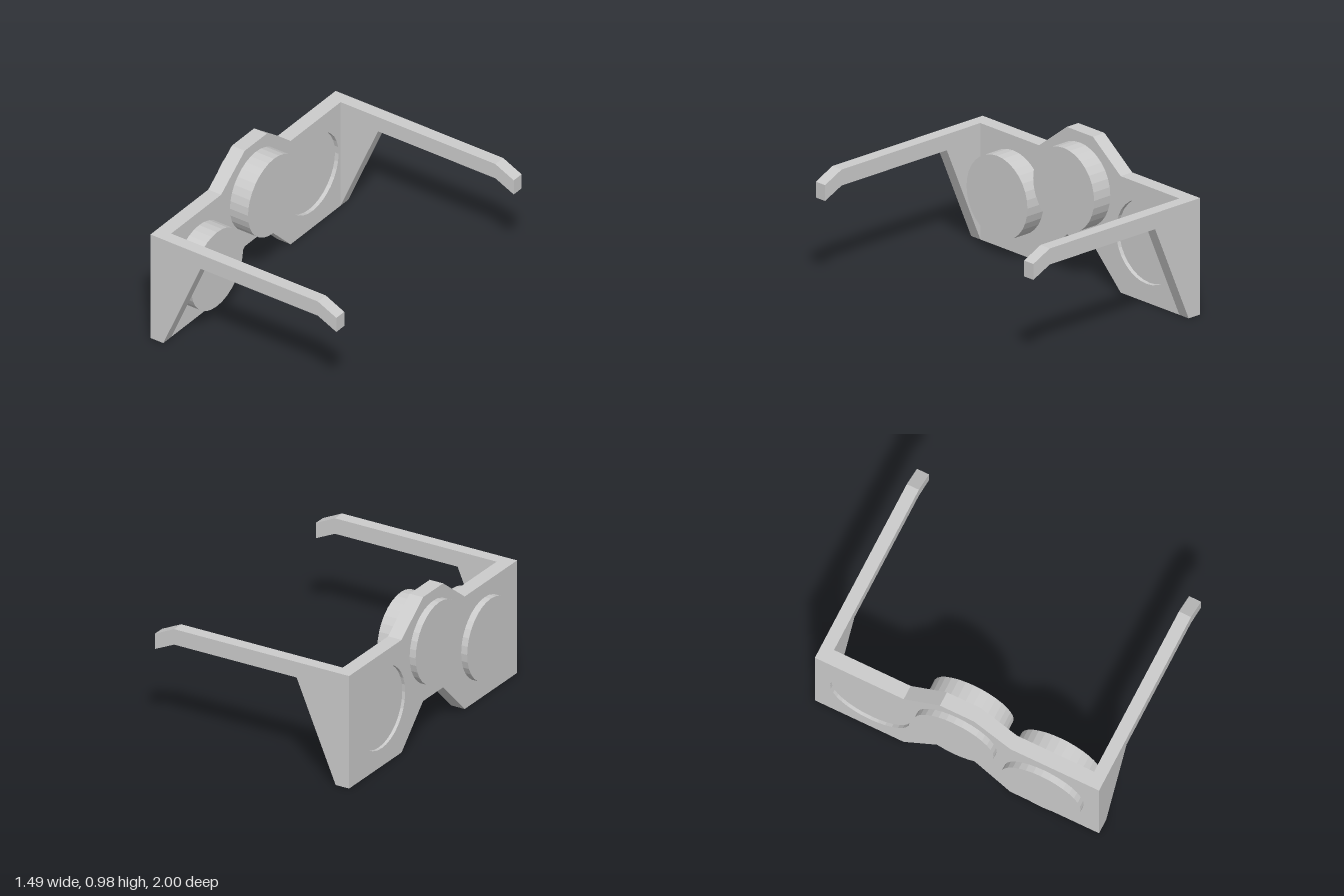
import * as THREE from 'three';

const SEGMENTS = 32;
const LENS_RADIUS = 0.28;
const PLATE_BACK = -0.7, PLATE_FRONT = -0.6;

// Lens centres (z, y) and their extent along x; one lens sits recessed in the plate
const LENSES = [
  { name: 'leftLens', z: 0.613, y: 0.405, from: -0.745, to: -0.46 },
  { name: 'middleLens', z: 0, y: 0.628, from: -0.745, to: -0.46 },
  { name: 'recessedLens', z: -0.613, y: 0.405, from: -0.678, to: -0.628 },
];

const points = (list) => list.map(([x, y]) => new THREE.Vector2(x, y));

const circle = (cx, cy, r) => Array.from({ length: SEGMENTS }, (_, i) => {
  const a = (i / SEGMENTS) * Math.PI * 2;
  return new THREE.Vector2(cx + r * Math.cos(a), cy + r * Math.sin(a));
});

export function createModel() {
  const model = new THREE.Group();
  model.name = 'glasses';
  const material = new THREE.MeshStandardMaterial({ color: 0xcccccc, flatShading: true });

  const add = (name, geometry) => {
    const mesh = new THREE.Mesh(geometry, material);
    mesh.name = name;
    model.add(mesh);
    return mesh;
  };

  // Frame plate: mirrored outline in (z, y) with a hole for every lens
  const half = [[0.12, 0.255], [0.375, 0], [0.915, 0], [0.915, 0.785], [0.375, 0.785], [0.12, 0.98]];
  const mirrored = half.map(([z, y]) => [-z, y]).reverse();
  const plate = new THREE.Shape(points([...half, ...mirrored]));
  for (const lens of LENSES) {
    plate.holes.push(new THREE.Path(circle(lens.z, lens.y, LENS_RADIUS)));
  }
  const plateGeometry = new THREE.ExtrudeGeometry(plate, {
    depth: PLATE_FRONT - PLATE_BACK, bevelEnabled: false,
  });
  plateGeometry.rotateY(-Math.PI / 2).translate(PLATE_FRONT, 0, 0);
  add('framePlate', plateGeometry);

  // Lens discs, axis along x
  for (const lens of LENSES) {
    const geometry = new THREE.CylinderGeometry(LENS_RADIUS, LENS_RADIUS, lens.to - lens.from, SEGMENTS);
    geometry.rotateZ(Math.PI / 2);
    add(lens.name, geometry).position.set((lens.from + lens.to) / 2, lens.y, lens.z);
  }

  // Temple arms with a triangular brace and a bent tip
  const arm = new THREE.Shape(points([
    [-0.7, 0], [-0.6, 0], [-0.31, 0.677], [0.6, 0.677],
    [0.743, 0.61], [0.743, 0.717], [0.6, 0.785], [-0.7, 0.785],
  ]));
  const armGeometry = new THREE.ExtrudeGeometry(arm, { depth: 0.085, bevelEnabled: false });
  add('nearArm', armGeometry).position.z = 0.915;
  add('farArm', armGeometry).position.z = -1;

  return model;
}
